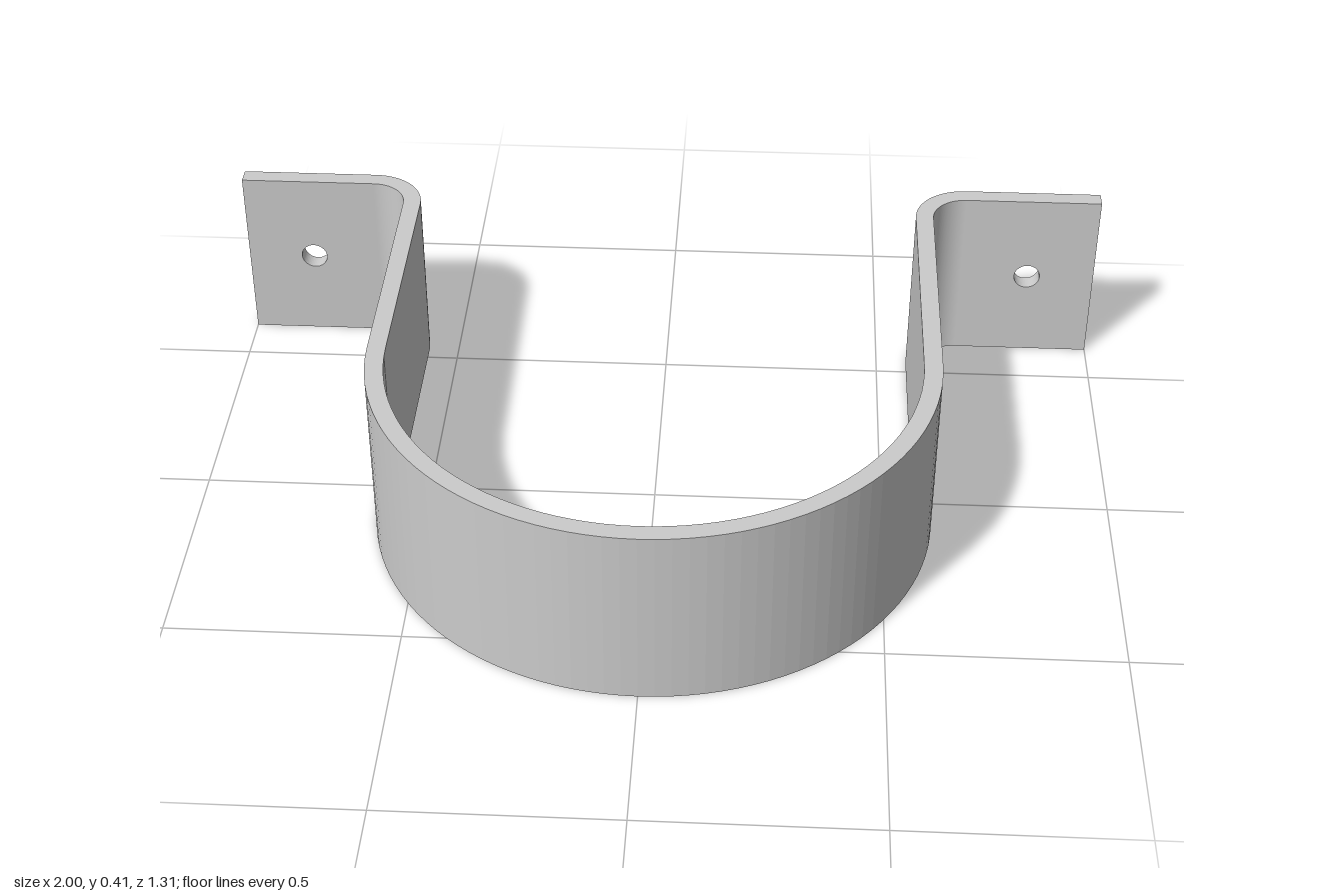
import * as THREE from 'three';

const H = 0.41;         // strap width (vertical)
const T = 0.04;         // sheet thickness
const R = 0.61;         // outer radius of the round front
const BACK = 0.655;     // depth of the rear faces
const ARC_Y = R - BACK; // centre of the round front (shape y = -z)
const BEND_X = 0.69;    // where each bend meets its flange
const BEND_R = BEND_X - R; // tight radius of the bend

export function createModel() {
  const group = new THREE.Group();
  group.name = 'pipeStrap';
  const material = new THREE.MeshStandardMaterial({ color: 0xcccccc });
  const bendY = BACK - T - BEND_R;

  // U-shaped band with its two outward bends, drawn from above
  const u = new THREE.Shape();
  u.moveTo(BEND_X, BACK);
  u.absarc(BEND_X, bendY, BEND_R + T, Math.PI / 2, Math.PI, false);
  u.absarc(0, ARC_Y, R - T, 0, -Math.PI, true);
  u.absarc(-BEND_X, bendY, BEND_R + T, 0, Math.PI / 2, false);
  u.lineTo(-BEND_X, BACK - T);
  u.absarc(-BEND_X, bendY, BEND_R, Math.PI / 2, 0, true);
  u.absarc(0, ARC_Y, R, Math.PI, 2 * Math.PI, false);
  u.absarc(BEND_X, bendY, BEND_R, Math.PI, Math.PI / 2, true);
  u.closePath();
  const bandGeometry = new THREE.ExtrudeGeometry(u, { depth: H, bevelEnabled: false, curveSegments: 28 });
  bandGeometry.rotateX(-Math.PI / 2);
  const band = new THREE.Mesh(bandGeometry, material);
  band.name = 'band';
  group.add(band);

  // Flat mounting flanges, each with a screw hole
  for (const side of [1, -1]) {
    const plate = new THREE.Shape();
    const a = Math.min(side * BEND_X, side);
    const b = Math.max(side * BEND_X, side);
    plate.moveTo(a, 0);
    plate.lineTo(b, 0);
    plate.lineTo(b, H);
    plate.lineTo(a, H);
    plate.closePath();
    const hole = new THREE.Path();
    hole.absarc(side * 0.845, H / 2, 0.03, 0, Math.PI * 2, true);
    plate.holes.push(hole);
    const flange = new THREE.Mesh(
      new THREE.ExtrudeGeometry(plate, { depth: T, bevelEnabled: false, curveSegments: 24 }),
      material
    );
    flange.position.z = -BACK;
    flange.name = side > 0 ? 'leftFlange' : 'rightFlange';
    group.add(flange);
  }
  return group;
}
